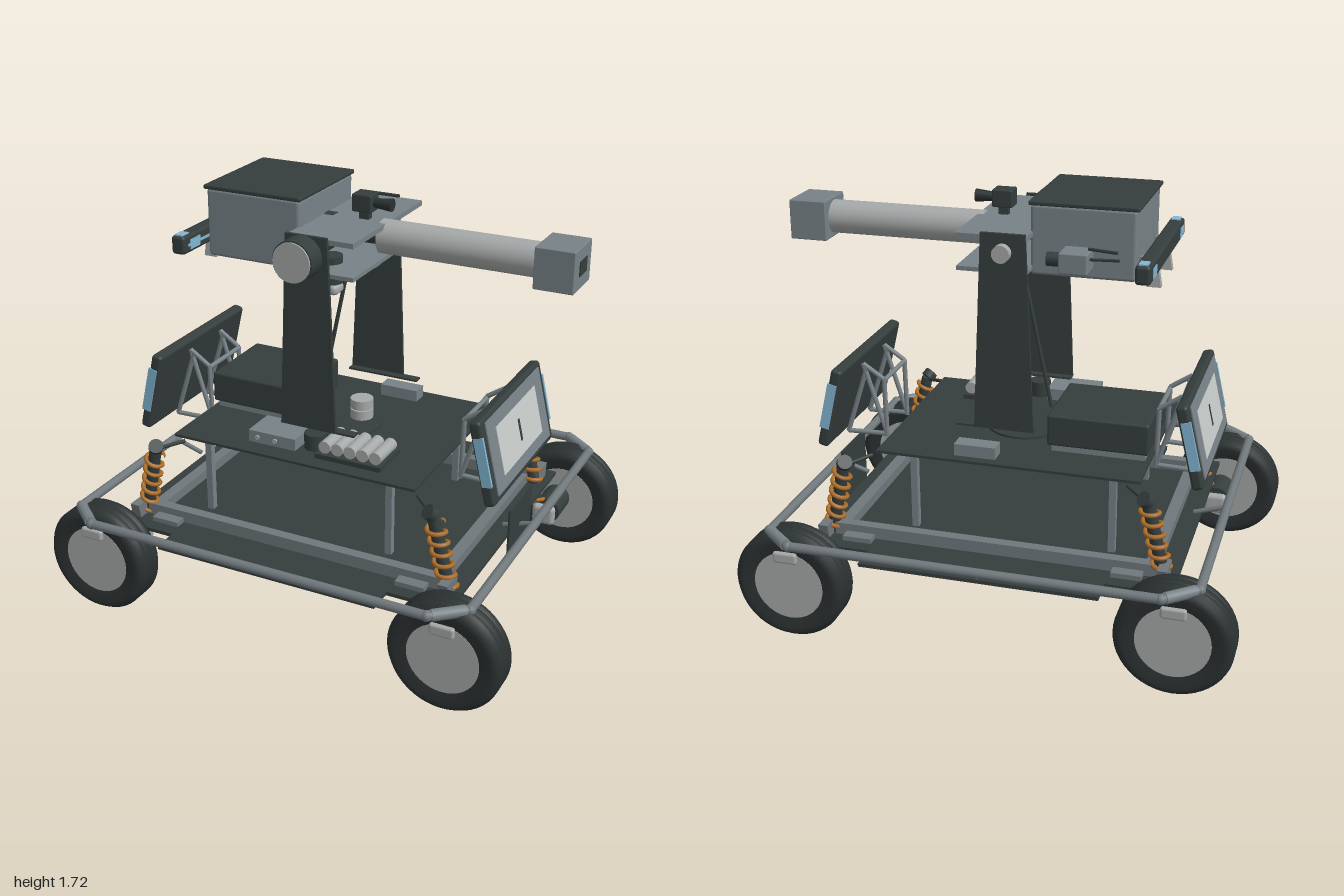
import * as THREE from 'three';
import { RoundedBoxGeometry } from 'three/addons/geometries/RoundedBoxGeometry.js';

const mat = (name, color) => Object.assign(new THREE.MeshStandardMaterial({ color }), { name });
const M = {
  dark: mat('charcoal panel', 0x353d3d),
  tire: mat('rubber', 0x2b3131),
  metal: mat('grey metal', 0x788287),
  frame: mat('frame tube', 0x70787c),
  silver: mat('light alloy', 0xa6a9a9),
  screen: mat('display glass', 0xc6cbca),
  orange: mat('spring copper', 0xb0702a),
  blue: mat('blue light', 0x83b6d3),
};
const V = (x, y, z) => new THREE.Vector3(x, y, z);

export function createModel() {
  const root = new THREE.Group();
  root.name = 'mobileTurret';

  const add = (parent, name, geo, m, x = 0, y = 0, z = 0) => {
    const mesh = new THREE.Mesh(geo, m);
    mesh.name = name;
    mesh.position.set(x, y, z);
    parent.add(mesh);
    return mesh;
  };
  // Box given by its limits on each axis
  const box = (parent, name, m, [x0, x1], [y0, y1], [z0, z1], r = 0) => {
    const s = [x1 - x0, y1 - y0, z1 - z0];
    const g = r ? new RoundedBoxGeometry(...s, 2, r) : new THREE.BoxGeometry(...s);
    return add(parent, name, g, m, (x0 + x1) / 2, (y0 + y1) / 2, (z0 + z1) / 2);
  };
  // Round bar between two points
  const rod = (parent, name, m, a, b, r, sides = 16, r2 = r) => {
    const d = b.clone().sub(a);
    const mesh = add(parent, name, new THREE.CylinderGeometry(r2, r, d.length(), sides), m);
    mesh.position.copy(a).addScaledVector(d, 0.5);
    mesh.quaternion.setFromUnitVectors(V(0, 1, 0), d.normalize());
    return mesh;
  };

  // Chassis floor, skirts and inner beams
  box(root, 'floorPlate', M.dark, [-0.74, 0.74], [0.345, 0.36], [-0.61, 0.61]);
  for (const s of [-1, 1]) {
    box(root, 'floorSkirt', M.dark, [-0.48, 0.48], [0.345, 0.36], [s * 0.66 - 0.055, s * 0.66 + 0.055]);
    box(root, 'longBeam', M.frame, [-0.66, 0.66], [0.36, 0.41], [s * 0.485 - 0.022, s * 0.485 + 0.022]);
    box(root, 'crossBeam', M.frame, [s * 0.635 - 0.024, s * 0.635 + 0.024], [0.36, 0.4], [-0.46, 0.46]);
    rod(root, 'railPeg', M.frame, V(0, 0.36, s * 0.7), V(0, 0.44, s * 0.79), 0.01);
    rod(root, 'railPeg', M.frame, V(s * 0.72, 0.4, 0), V(s * 0.85, 0.44, 0), 0.01);
    for (const x of [-0.45, 0.37])
      box(root, 'platformPost', M.metal, [x - 0.014, x + 0.014], [0.36, 0.7], [s * 0.345 - 0.014, s * 0.345 + 0.014]);
  }

  // Eight-sided bumper rail
  const rail = [[0.73, 0.805], [0.855, 0.7], [0.855, -0.7], [0.73, -0.805],
    [-0.73, -0.805], [-0.855, -0.7], [-0.855, 0.7], [-0.73, 0.805]].map(([x, z]) => V(x, 0.443, z));
  rail.forEach((p, i) => {
    const q = rail[(i + 1) % 8];
    rod(root, 'bumperRail', M.frame, p, q, 0.019);
    add(root, 'railJoint', new THREE.SphereGeometry(0.022, 14, 10), M.frame, p.x, p.y, p.z);
    if (i % 2 === 0) rod(root, 'railSleeve', M.metal, p.clone().lerp(q, 0.1), p.clone().lerp(q, 0.9), 0.023);
  });

  // Tyre profile with tread grooves
  const tireProfile = [[0.14, -0.06], [0.19, -0.072], [0.215, -0.066], [0.23, -0.045], [0.23, -0.024], [0.223, -0.022],
    [0.223, -0.016], [0.23, -0.014], [0.23, 0.014], [0.223, 0.016], [0.223, 0.022], [0.23, 0.024], [0.23, 0.045],
    [0.215, 0.066], [0.19, 0.072], [0.14, 0.06]].map(p => new THREE.Vector2(...p));
  const tireGeo = new THREE.LatheGeometry(tireProfile, 48).rotateX(Math.PI / 2);

  // Coil spring path
  class Helix extends THREE.Curve {
    getPoint(t) {
      const a = t * Math.PI * 2 * 8;
      return V(Math.cos(a) * 0.035, t * 0.37, Math.sin(a) * 0.035);
    }
  }
  const coilGeo = new THREE.TubeGeometry(new Helix(), 160, 0.009, 6);

  for (const sx of [-1, 1]) for (const sz of [-1, 1]) {
    // Wheel with hub and drive motor
    const x = sx * 0.77, wheel = new THREE.Group();
    wheel.name = 'wheel';
    wheel.position.set(x, 0.23, sz * 0.68);
    root.add(wheel);
    add(wheel, 'tire', tireGeo, M.tire);
    add(wheel, 'hub', new THREE.CylinderGeometry(0.145, 0.145, 0.126, 40).rotateX(Math.PI / 2), M.silver);
    box(wheel, 'valveCap', M.silver, [-0.05, 0.05], [0.108, 0.155], [sz * 0.075 - 0.012, sz * 0.075 + 0.012], 0.011);
    const mx = sx * 0.75;
    rod(root, 'driveMotor', M.dark, V(mx, 0.235, sz * 0.47), V(mx, 0.235, sz * 0.62), 0.058, 24);
    rod(root, 'motorNeck', M.metal, V(mx, 0.235, sz * 0.455), V(mx, 0.235, sz * 0.47), 0.03);
    add(root, 'motorCap', new RoundedBoxGeometry(0.1, 0.09, 0.042, 3, 0.02), M.silver, mx, 0.235, sz * 0.44);
    // Suspension arm and shock
    const arm = new THREE.Shape([[0.46, 0.42], [0.565, 0.42], [0.535, 0.28], [0.49, 0.28]].map(p => new THREE.Vector2(p[0] * sz, p[1])));
    const armMesh = add(root, 'suspensionBracket', new THREE.ExtrudeGeometry(arm, { depth: 0.04, bevelEnabled: false }), M.frame, sx * 0.69 + 0.02);
    armMesh.rotation.y = -Math.PI / 2;
    const low = V(sx * 0.7, 0.28, sz * 0.475), high = V(sx * 0.615, 0.67, sz * 0.495);
    rod(root, 'shockCore', M.dark, low, high, 0.025);
    rod(root, 'shockHead', M.dark, high, V(sx * 0.6, 0.69, sz * 0.515), 0.03);
    rod(root, 'shockLink', M.dark, V(sx * 0.61, 0.665, sz * 0.49), V(sx * 0.52, 0.69, sz * 0.42), 0.008);
    const coil = add(root, 'coilSpring', coilGeo, M.orange);
    coil.position.copy(low);
    coil.quaternion.setFromUnitVectors(V(0, 1, 0), high.clone().sub(low).normalize());
    box(root, 'beamGusset', M.frame, [sx * 0.55 - 0.06, sx * 0.55 + 0.06], [0.36, 0.38], [sz * 0.53 - 0.025, sz * 0.53 + 0.025]);
  }
  box(root, 'numberPanel', M.dark, [0.782, 0.79], [0.29, 0.54], [-0.125, 0.125]);

  // Upper equipment platform
  box(root, 'platform', M.dark, [-0.57, 0.505], [0.7, 0.711], [-0.42, 0.42]);
  box(root, 'batteryCase', M.dark, [-0.565, -0.155], [0.74, 0.87], [-0.25, 0.12], 0.01);
  box(root, 'batteryBase', M.metal, [-0.55, -0.17], [0.711, 0.742], [-0.23, 0.1]);
  box(root, 'controlBox', M.metal, [-0.24, -0.03], [0.735, 0.785], [0.23, 0.38]);
  for (const x of [-0.2, -0.12]) rod(root, 'controlKnob', M.silver, V(x, 0.76, 0.38), V(x, 0.76, 0.386), 0.01);
  rod(root, 'platformMotor', M.dark, V(0.02, 0.73, 0.3), V(0.02, 0.795, 0.3), 0.045, 24);
  rod(root, 'platformStud', M.dark, V(0, 0.67, 0), V(0, 0.71, 0), 0.006, 12, 0.012);
  box(root, 'cellTray', M.dark, [0.05, 0.335], [0.718, 0.738], [0.18, 0.367]);
  for (let i = 0; i < 5; i++)
    rod(root, 'batteryCell', M.silver, V(0.085 + i * 0.055, 0.763, 0.2), V(0.085 + i * 0.055, 0.763, 0.35), 0.026, 20);
  rod(root, 'turntable', M.dark, V(0, 0.711, 0), V(0, 0.72, 0), 0.16, 32);
  for (let i = 0; i < 2; i++)
    rod(root, 'sensorPuck', M.silver, V(0.05, 0.72 + i * 0.045, -0.06), V(0.05, 0.76 + i * 0.045, -0.06), 0.048, 24);
  box(root, 'rearModule', M.metal, [0.02, 0.19], [0.711, 0.76], [-0.38, -0.31]);

  // Tilted display panels on tube brackets, one at each end
  for (const side of [0, 1]) {
    const end = new THREE.Group();
    end.name = side ? 'rightDisplay' : 'leftDisplay';
    end.rotation.y = side * Math.PI;
    root.add(end);
    const panel = new THREE.Group();
    panel.name = 'displayPanel';
    panel.position.set(0.738, 0.828, 0);
    panel.rotation.z = 0.23;
    end.add(panel);
    box(panel, 'displayCase', M.dark, [-0.024, 0.024], [-0.174, 0.174], [-0.335, 0.335], 0.015);
    box(panel, 'displayBezel', M.metal, [0.024, 0.029], [-0.145, 0.155], [-0.295, 0.295]);
    box(panel, 'displayScreen', M.screen, [0.029, 0.032], [-0.095, 0.105], [-0.215, 0.215]);
    box(panel, 'screenMark', M.dark, [0.032, 0.034], [-0.04, 0.05], [-0.008, 0.008]);
    for (const s of [-1, 1]) {
      box(panel, 'sideLight', M.blue, [-0.014, 0.026], [-0.09, 0.11], [s * 0.332 - 0.006, s * 0.332 + 0.006]);
      const path = [[0.575, 0.64], [0.58, 0.895], [0.67, 0.955], [0.575, 0.65], [0.75, 0.645], [0.655, 0.94]];
      for (let i = 0; i < 5; i++)
        rod(end, 'displayStrut', M.metal, V(...path[i], s * 0.12), V(...path[i + 1], s * 0.12), 0.01, 10);
    }
    rod(end, 'displayCrossTube', M.metal, V(0.58, 0.89, -0.12), V(0.58, 0.89, 0.12), 0.01, 10);
  }

  // Side towers
  const tower = new THREE.Shape([[-0.12, 0.82], [0.122, 0.82], [0.088, 1.615], [-0.088, 1.615]].map(p => new THREE.Vector2(...p)));
  const towerGeo = new THREE.ExtrudeGeometry(tower, { depth: 0.014, bevelEnabled: false });
  for (const s of [-1, 1]) {
    add(root, 'tower', towerGeo, M.dark, 0, 0, s * 0.32 - 0.007);
    box(root, 'towerFoot', M.dark, [-0.12, 0.2], [0.817, 0.825], [s * 0.3 - 0.02, s * 0.3 + 0.02]);
    // Hanging tilt motors below the cradle
    rod(root, 'tiltMotor', M.dark, V(0.03, 1.39, s * 0.175), V(0.03, 1.5, s * 0.175), 0.045, 24);
    box(root, 'tiltMotorCap', M.silver, [-0.01, 0.07], [1.345, 1.388], [s * 0.175 - 0.038, s * 0.175 + 0.038], 0.018);
  }
  rod(root, 'cableMast', M.dark, V(-0.11, 0.8, 0), V(0.03, 1.47, 0), 0.008, 10);

  // Cradle and pivots
  box(root, 'cradleTop', M.metal, [-0.09, 0.19], [1.585, 1.605], [-0.32, 0.31]);
  box(root, 'cradleBottom', M.metal, [-0.09, 0.19], [1.455, 1.472], [-0.31, 0.31]);
  rod(root, 'tiltAxle', M.dark, V(0, 1.545, -0.31), V(0, 1.545, 0.36), 0.036, 24);
  rod(root, 'pivotDrum', M.dark, V(0, 1.543, 0.352), V(0, 1.543, 0.436), 0.083, 32);
  rod(root, 'pivotFace', M.silver, V(0, 1.543, 0.436), V(0, 1.543, 0.443), 0.078, 32);
  rod(root, 'rearPivot', M.silver, V(0, 1.543, -0.36), V(0, 1.543, -0.327), 0.035, 20);

  // Launcher barrel and square muzzle
  rod(root, 'breech', M.dark, V(-0.1, 1.54, 0), V(-0.04, 1.54, 0), 0.07, 24);
  rod(root, 'barrelCollar', M.dark, V(-0.04, 1.545, 0), V(0.17, 1.545, 0), 0.036, 24);
  rod(root, 'barrel', M.silver, V(0.165, 1.545, 0), V(0.83, 1.545, 0), 0.068, 32);
  box(root, 'muzzle', M.metal, [0.815, 0.97], [1.463, 1.625], [-0.098, 0.098], 0.004);
  box(root, 'muzzleOpening', M.dark, [0.968, 0.974], [1.516, 1.574], [-0.04, 0.04]);

  // Ammunition hopper and lid
  box(root, 'hopper', M.metal, [-0.49, -0.08], [1.435, 1.71], [-0.228, 0.228], 0.014);
  box(root, 'hopperLid', M.dark, [-0.5, -0.073], [1.706, 1.724], [-0.234, 0.234], 0.006);

  // Aiming camera
  box(root, 'cameraBody', M.dark, [0.047, 0.13], [1.637, 1.708], [-0.038, 0.038], 0.006);
  box(root, 'cameraStand', M.dark, [0.07, 0.11], [1.6, 1.64], [-0.015, 0.015]);
  rod(root, 'cameraLens', M.tire, V(0.13, 1.672, 0), V(0.205, 1.672, 0), 0.018, 20, 0.026);

  // Rear spotting unit with whisker aerials
  box(root, 'spotterBody', M.metal, [-0.335, -0.225], [1.49, 1.57], [-0.37, -0.26], 0.006);
  rod(root, 'spotterLens', M.dark, V(-0.225, 1.53, -0.315), V(-0.17, 1.53, -0.315), 0.027, 20);
  rod(root, 'spotterArm', M.metal, V(-0.28, 1.53, -0.27), V(-0.28, 1.53, -0.22), 0.02);
  for (const y of [0, 0.04])
    rod(root, 'aerial', M.dark, V(-0.33, 1.54 + y, -0.32), V(-0.45, 1.55 + y, -0.34 - y), 0.006, 8);

  // Light bar with blue lenses and hanging tabs
  box(root, 'lightBar', M.dark, [-0.572, -0.512], [1.47, 1.545], [-0.37, 0.37], 0.014);
  box(root, 'lightStrip', M.blue, [-0.52, -0.508], [1.5, 1.51], [-0.34, 0.34]);
  const tab = new THREE.Shape([[-0.57, 1.395], [-0.514, 1.395], [-0.527, 1.475], [-0.557, 1.475]].map(p => new THREE.Vector2(...p)));
  for (const s of [-1, 1]) {
    box(root, 'lightLens', M.blue, [-0.575, -0.509], [1.485, 1.525], [s * 0.29 - 0.035, s * 0.29 + 0.035]);
    box(root, 'lightTopLens', M.blue, [-0.56, -0.524], [1.543, 1.549], [s * 0.335 - 0.025, s * 0.335 + 0.025]);
    add(root, 'lightTab', new THREE.ExtrudeGeometry(tab, { depth: 0.03, bevelEnabled: false }), M.silver, 0, 0, s * 0.12 - 0.015);
    box(root, 'lightArm', M.metal, [-0.52, -0.48], [1.495, 1.52], [s * 0.15 - 0.015, s * 0.15 + 0.015]);
  }
  return root;
}
